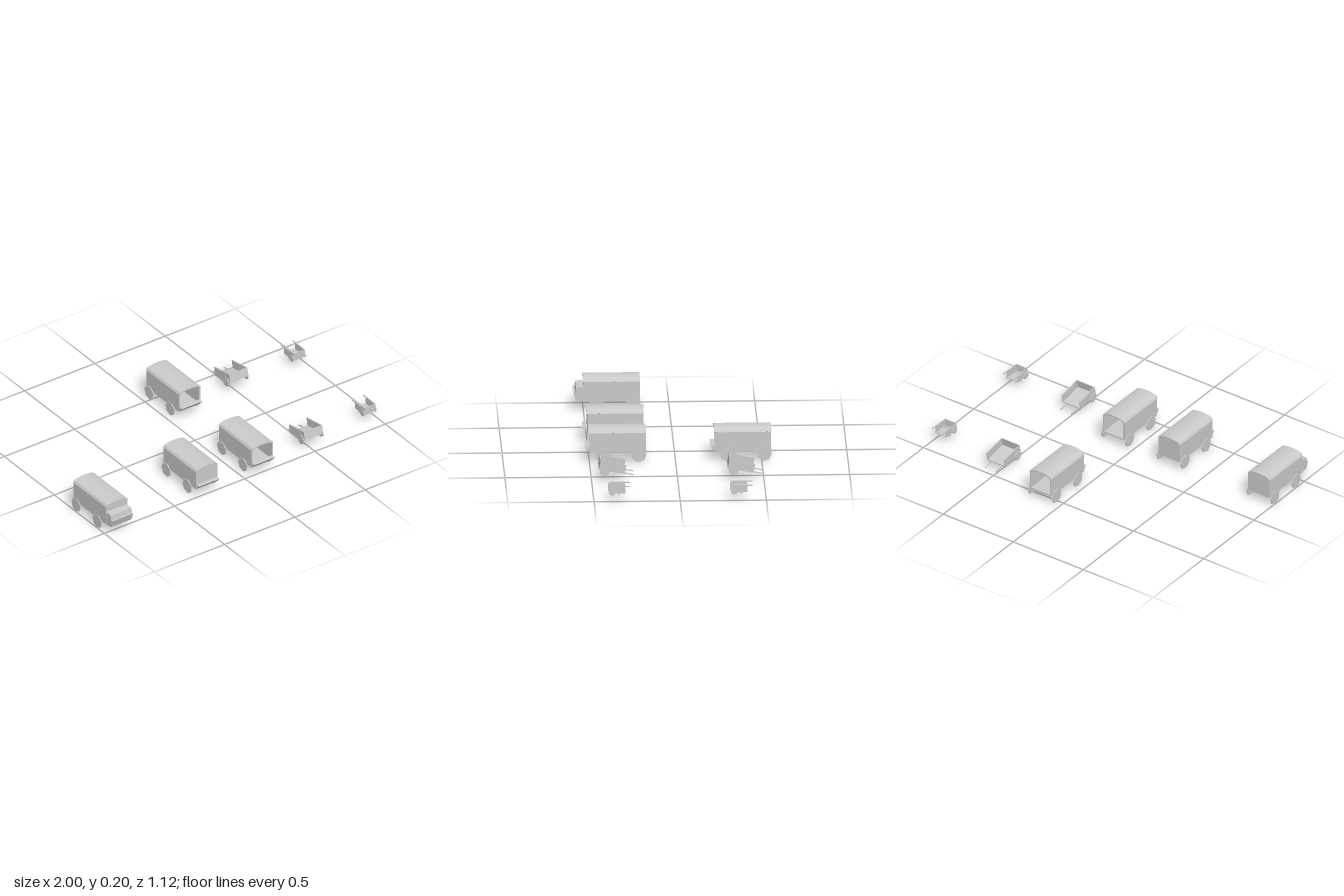
import * as THREE from 'three';

const mat = new THREE.MeshStandardMaterial({ color: 0xcccccc, flatShading: true });

function add(parent, name, geometry, x = 0, y = 0, z = 0) {
  const mesh = new THREE.Mesh(geometry, mat);
  mesh.name = name;
  mesh.position.set(x, y, z);
  parent.add(mesh);
  return mesh;
}

const box = (w, h, d) => new THREE.BoxGeometry(w, h, d);
const vec = (pts) => pts.map(([x, y]) => new THREE.Vector2(x, y));

// Front profile (x, y) extruded from z0 to z1
function extrudeZ(shape, z0, z1) {
  return new THREE.ExtrudeGeometry(shape, { depth: z1 - z0, bevelEnabled: false }).translate(0, 0, z0);
}

// Side profile (z, y) extruded across x, centred
function extrudeX(pts, width) {
  return new THREE.ExtrudeGeometry(new THREE.Shape(vec(pts)), { depth: width, bevelEnabled: false })
    .rotateY(-Math.PI / 2).translate(width / 2, 0, 0);
}

// Pair of flat seven-sided wheels with their axle
function wheelPair(parent, radius, track, y, z, hub) {
  const wheel = new THREE.CylinderGeometry(radius, radius, 0.005, 7, 1, false, Math.PI - 0.07).rotateZ(Math.PI / 2);
  for (const s of [-1, 1]) add(parent, 'wheel', wheel, s * track, y, z);
  const axle = new THREE.CylinderGeometry(0.004, 0.004, 2 * hub, 6).rotateZ(Math.PI / 2);
  add(parent, 'axle', axle, 0, y, z);
}

// Arched outline, right half mirrored to the left
function arch(bottom, inset = 0) {
  const right = [
    [0.076 - inset, bottom], [0.076 - inset, 0.173 - inset * 0.3],
    [0.068 - inset, 0.186 - inset * 0.7], [0.045 - inset * 0.5, 0.193 - inset * 0.9],
    [0.018, 0.197 - inset],
  ];
  return vec([...right, ...right.map(([x, y]) => [-x, y]).reverse()]);
}

function wagon(name, x, z, open, cab) {
  const g = new THREE.Group();
  g.name = name;
  g.position.set(x, 0, z);

  // Body: solid when closed, a tunnel when open at both ends
  const body = new THREE.Shape(arch(0.056));
  if (open) body.holes.push(new THREE.Path(arch(0.064, 0.008)));
  add(g, 'wagonBody', extrudeZ(body, 0.172, 0.499), 0, 0, 0);

  // Roof cover, slightly longer than the body
  const outer = arch(0.173);
  const inner = arch(0.173, 0.008).reverse();
  const roof = new THREE.Shape([
    ...outer.slice(1, -1).map((p) => new THREE.Vector2(p.x * 1.015, p.y + 0.001)),
    ...inner.slice(1, -1),
  ]);
  add(g, 'roofCover', extrudeZ(roof, 0.171, 0.504));

  // Cab with bonnet, or a wedge-shaped footboard
  if (cab) {
    add(g, 'cab', extrudeX([[0.498, 0.058], [0.543, 0.06], [0.56, 0.108], [0.547, 0.108],
      [0.543, 0.138], [0.498, 0.142]], 0.148));
  } else {
    add(g, 'footboard', extrudeX([[0.498, 0.058], [0.525, 0.087], [0.498, 0.089]], 0.144));
  }

  // Running gear
  for (const wz of [0.213, 0.424]) {
    add(g, 'axleBeam', box(0.14, 0.014, 0.014), 0, 0.05, wz);
    wheelPair(g, 0.0445, 0.085, 0.044, wz, 0.09);
  }
  return g;
}

// Tray with a floor, front board and two sides, open at the rear
function tray(parent, w, h, d, t) {
  add(parent, 'floor', box(w, t, d), 0, -h / 2 + t / 2, 0);
  add(parent, 'frontBoard', box(w, h, t), 0, 0, d / 2 - t / 2);
  for (const s of [-1, 1]) add(parent, 'sideBoard', box(t, h, d), s * (w - t) / 2, 0, 0);
}

// Two-wheeled cart resting on its shafts
function cart(x, z) {
  const g = new THREE.Group();
  g.name = 'cart';
  g.position.set(x, 0, z);
  const tilted = new THREE.Group();
  tilted.name = 'cartTray';
  tilted.position.set(0, 0.082, 0.378);
  tilted.rotation.x = -0.178;
  tray(tilted, 0.13, 0.054, 0.152, 0.005);
  for (const s of [-1, 1]) add(tilted, 'shaft', box(0.005, 0.006, 0.185), s * 0.038, -0.029, -0.04);
  g.add(tilted);
  wheelPair(g, 0.03, 0.069, 0.06, 0.425, 0.073);
  return g;
}

// Small hand barrow with handles and legs
function barrow(x, z) {
  const g = new THREE.Group();
  g.name = 'handBarrow';
  g.position.set(x, 0, z);
  const body = new THREE.Group();
  body.name = 'barrowTray';
  body.position.set(0, 0.071, 0.365);
  tray(body, 0.08, 0.048, 0.096, 0.004);
  g.add(body);
  for (const s of [-1, 1]) {
    add(g, 'handle', box(0.004, 0.006, 0.09), s * 0.042, 0.09, 0.332);
    add(g, 'leg', box(0.004, 0.016, 0.005), s * 0.036, 0.043, 0.355);
  }
  wheelPair(g, 0.021, 0.043, 0.055, 0.395, 0.046);
  return g;
}

export function createModel() {
  const model = new THREE.Group();
  model.name = 'wagonSet';
  model.add(
    wagon('cabWagon', -0.911, 0, false, true),
    wagon('closedWagon', -0.27, 0, false, false),
    wagon('openWagon', 0.125, 0, true, false),
    wagon('openWagonRear', 0.125, -0.727, true, false),
    cart(0.522, 0), cart(0.522, -0.748),
    barrow(0.953, 0), barrow(0.953, -0.708),
  );
  return model;
}
